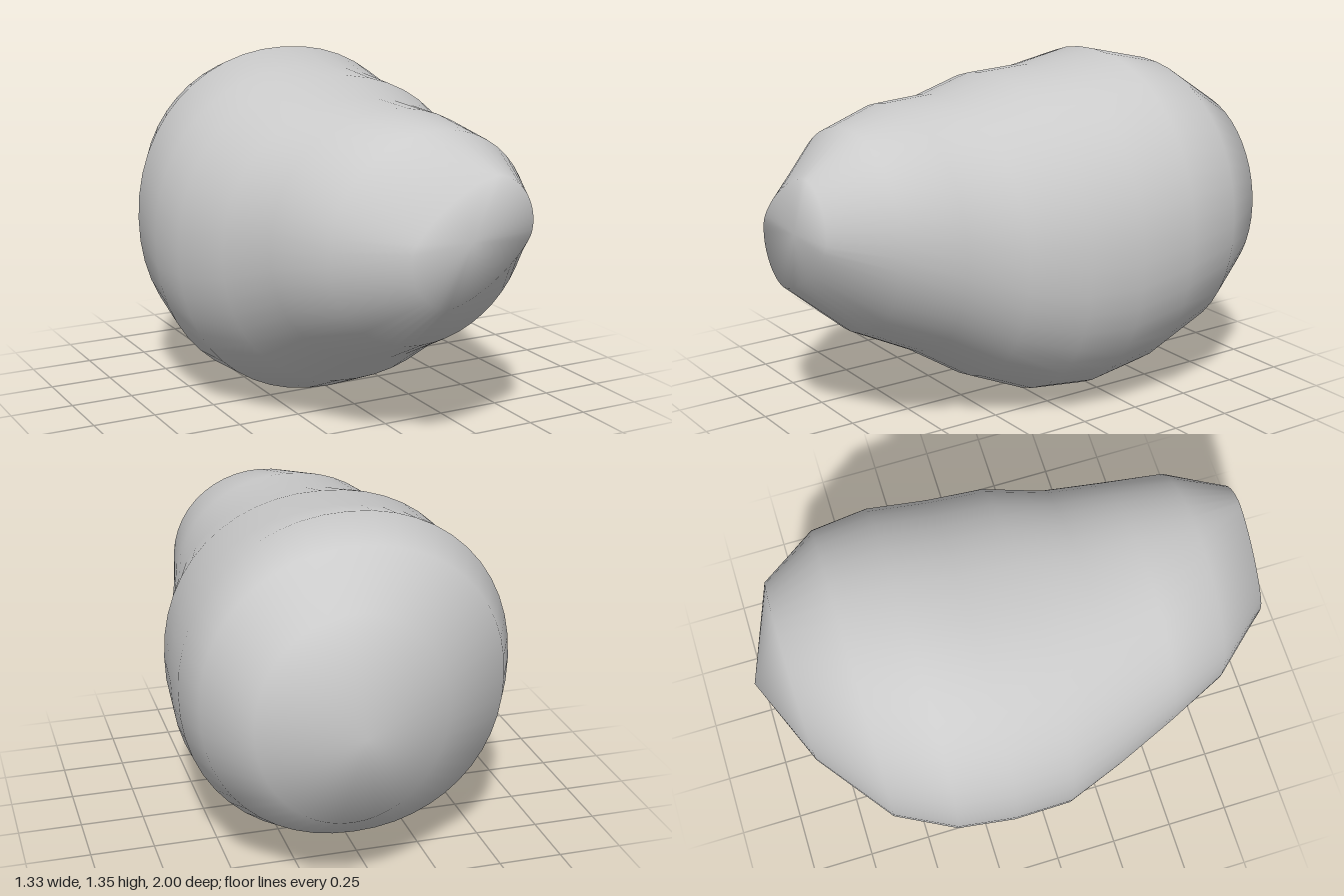
import * as THREE from 'three';

// Cross-sections from front to back: z, xMin, xMax, yMin, yMax, roundness, lean
const sections = [
  [1.0, -0.18, 0.30, 0.60, 1.06, 1.6, 0.10],
  [0.77, -0.39, 0.44, 0.40, 1.19, 2.0, 0.03],
  [0.53, -0.50, 0.49, 0.28, 1.235, 2.1, 0],
  [0.30, -0.585, 0.55, 0.13, 1.24, 2.1, 0],
  [0.07, -0.665, 0.625, 0.03, 1.295, 2.15, 0],
  [-0.16, -0.665, 0.645, 0.005, 1.305, 2.15, 0],
  [-0.39, -0.645, 0.66, 0.045, 1.355, 2.1, 0],
  [-0.62, -0.535, 0.63, 0.16, 1.30, 2.1, 0],
  [-0.85, -0.235, 0.485, 0.33, 1.14, 2.0, 0],
];
const SIDES = 48;

// Signed power used to round or pinch an ellipse
const spow = (v, p) => Math.sign(v) * Math.abs(v) ** p;

function loftBody() {
  const pos = [], index = [];
  for (const [z, x0, x1, y0, y1, n, lean] of sections) {
    for (let j = 0; j < SIDES; j++) {
      const a = (j / SIDES) * Math.PI * 2;
      const c = spow(Math.cos(a), 2 / n), s = spow(Math.sin(a), 2 / n);
      pos.push((x0 + x1) / 2 + c * (x1 - x0) / 2 + s * lean, (y0 + y1) / 2 + s * (y1 - y0) / 2, z);
    }
  }
  const rings = sections.length;
  const front = rings * SIDES, back = front + 1;
  pos.push(0.06, 0.83, 1, 0.12, 0.73, -1);

  for (let j = 0; j < SIDES; j++) {
    const k = (j + 1) % SIDES;
    // Flat front end and pointed back end
    index.push(front, j, k);
    index.push(back, (rings - 1) * SIDES + k, (rings - 1) * SIDES + j);
    // Skin between neighbouring sections
    for (let i = 0; i < rings - 1; i++) {
      const a = i * SIDES + j, b = i * SIDES + k;
      index.push(a, a + SIDES, b, b, a + SIDES, b + SIDES);
    }
  }
  const geo = new THREE.BufferGeometry();
  geo.setAttribute('position', new THREE.Float32BufferAttribute(pos, 3));
  geo.setIndex(index);
  geo.computeVertexNormals();
  return geo;
}

export function createModel() {
  const group = new THREE.Group();
  const body = new THREE.Mesh(loftBody(), new THREE.MeshStandardMaterial({ color: 0xcccccc }));
  body.name = 'body';
  group.add(body);
  return group;
}
